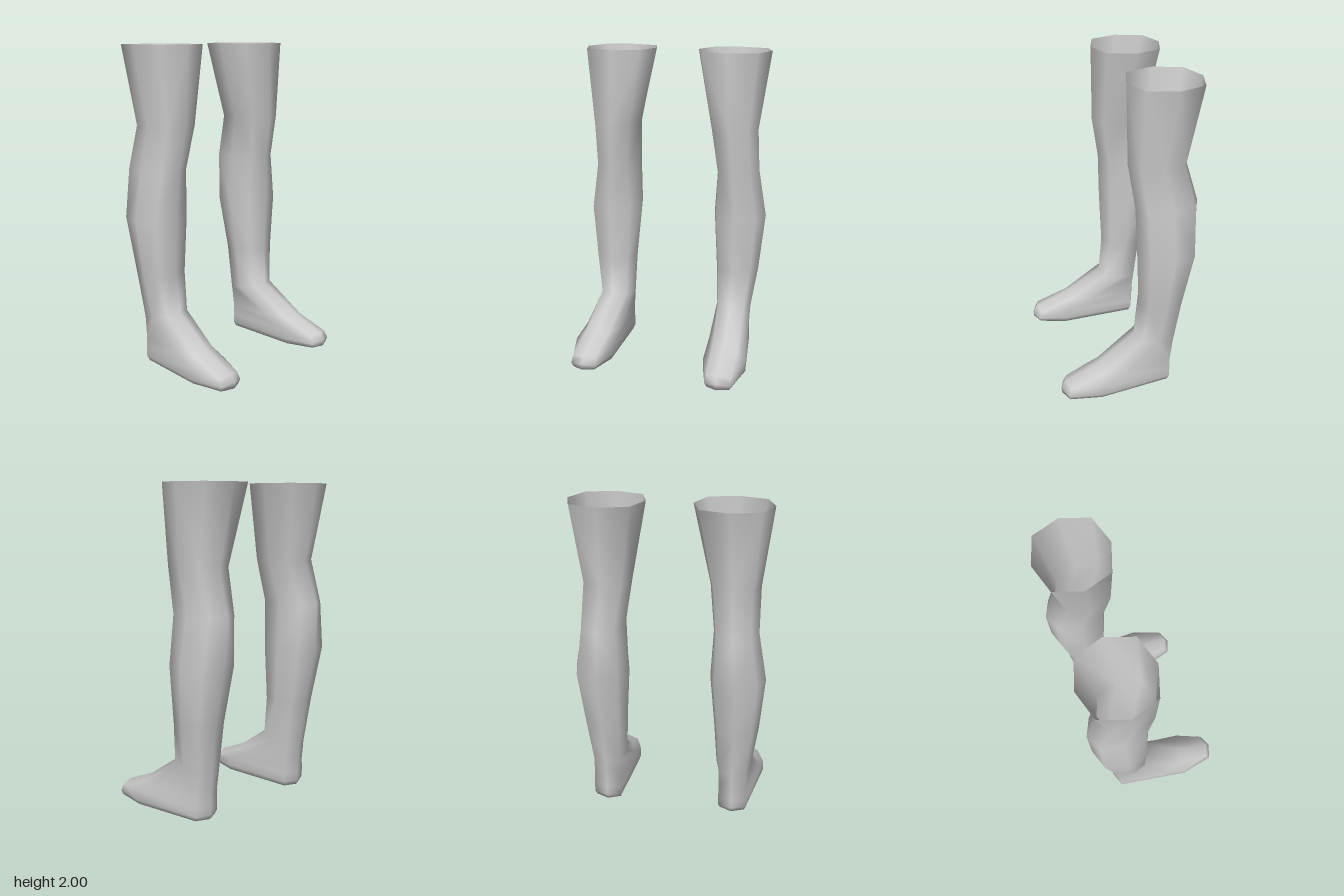
import * as THREE from 'three';

const SIDES = 8;

// Horizontal eight-sided ring given by its x and z limits; tilt raises the front edge
function legRing(y, x0, x1, z0, z1, tilt = 0) {
  const ring = [];
  for (let i = 0; i < SIDES; i++) {
    const a = (i / SIDES) * Math.PI * 2;
    const k = i % 2 ? 1.07 : 1;
    const c = Math.cos(a) * k, s = Math.sin(a) * k;
    ring.push([(x0 + x1) / 2 + c * (x1 - x0) / 2, y + s * tilt, (z0 + z1) / 2 + s * (z1 - z0) / 2]);
  }
  return ring;
}

// Left leg from the open thigh down to the ankle
const legRings = [
  legRing(2.0, 0.137, 0.6, -0.44, 0.008),
  legRing(1.52, 0.236, 0.537, -0.35, 0),
  legRing(1.25, 0.27, 0.54, -0.43, -0.044),
  legRing(0.95, 0.253, 0.592, -0.418, -0.055),
  legRing(0.6, 0.28, 0.56, -0.345, -0.07),
  legRing(0.33, 0.295, 0.521, -0.312, -0.045, 0.03),
];

// Foot rings: outer, toe outer, toe, toe inner, inner, heel inner, heel, heel outer
const footRings = [
  [[0.55, 0.17, 0.06], [0.515, 0.167, 0.18], [0.43, 0.19, 0.21], [0.35, 0.172, 0.18],
    [0.302, 0.18, 0.06], [0.325, 0.17, -0.262], [0.41, 0.17, -0.299], [0.5, 0.17, -0.262]],
  [[0.573, 0.115, 0.2], [0.518, 0.09, 0.39], [0.44, 0.103, 0.412], [0.367, 0.09, 0.39],
    [0.305, 0.11, 0.23], [0.322, 0.1, -0.262], [0.41, 0.1, -0.297], [0.503, 0.1, -0.262]],
  [[0.573, 0.05, 0.2], [0.526, 0.045, 0.41], [0.44, 0.06, 0.44], [0.36, 0.045, 0.41],
    [0.305, 0.05, 0.23], [0.322, 0.045, -0.262], [0.41, 0.045, -0.295], [0.503, 0.045, -0.262]],
  [[0.55, 0.016, 0.2], [0.515, 0.016, 0.4], [0.44, 0.02, 0.434], [0.37, 0.016, 0.4],
    [0.317, 0.016, 0.23], [0.332, 0.016, -0.25], [0.41, 0.016, -0.287], [0.493, 0.016, -0.25]],
];

// Skin the rings into one smooth shell, closed at the sole; side -1 mirrors it
function legGeometry(side) {
  const rings = [...legRings, ...footRings];
  const points = [...rings.flat(), [0.43, 0, 0.03]];
  const index = [];
  const face = (a, b, c) => (side > 0 ? index.push(a, b, c) : index.push(a, c, b));
  for (let r = 0; r < rings.length; r++) {
    for (let i = 0; i < SIDES; i++) {
      const p = r * SIDES + i;
      const q = r * SIDES + (i + 1) % SIDES;
      if (r < rings.length - 1) {
        face(p, q, p + SIDES);
        face(q, q + SIDES, p + SIDES);
      } else {
        face(p, q, points.length - 1);
      }
    }
  }
  const g = new THREE.BufferGeometry();
  g.setAttribute('position', new THREE.Float32BufferAttribute(points.flatMap(([x, y, z]) => [x * side, y, z]), 3));
  g.setIndex(index);
  g.computeVertexNormals();
  return g;
}

export function createModel() {
  const model = new THREE.Group();
  model.name = 'legs';
  const material = new THREE.MeshStandardMaterial({ color: 0xcccccc, side: THREE.DoubleSide });
  for (const [name, side] of [['leftLeg', 1], ['rightLeg', -1]]) {
    const leg = new THREE.Mesh(legGeometry(side), material);
    leg.name = name;
    model.add(leg);
  }
  return model;
}
